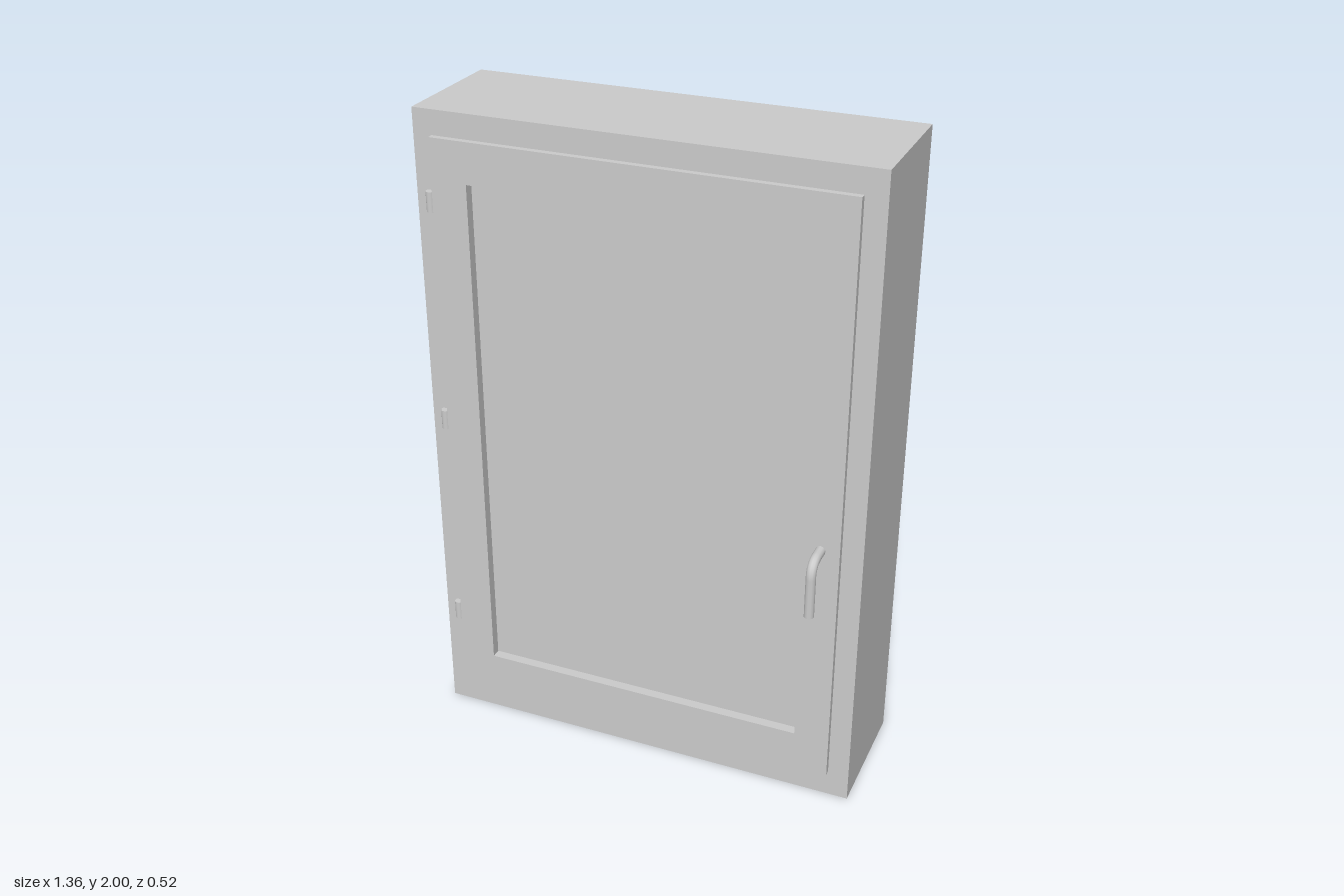
import * as THREE from 'three';

const material = new THREE.MeshStandardMaterial({ color: 0xcccccc });

function add(parent, name, geometry, x = 0, y = 0, z = 0) {
  const mesh = new THREE.Mesh(geometry, material);
  mesh.name = name;
  mesh.position.set(x, y, z);
  parent.add(mesh);
  return mesh;
}

function rectangle(target, x0, x1, y0, y1) {
  target.moveTo(x0, y0);
  target.lineTo(x1, y0);
  target.lineTo(x1, y1);
  target.lineTo(x0, y1);
  target.closePath();
  return target;
}

// Rectangular ring; outer and inner are [x0, x1, y0, y1], extruded from z0 to z1
function ring(outer, inner, z0, z1) {
  const shape = rectangle(new THREE.Shape(), ...outer);
  shape.holes.push(rectangle(new THREE.Path(), ...inner));
  const geometry = new THREE.ExtrudeGeometry(shape, { depth: z1 - z0, bevelEnabled: false });
  return geometry.translate(0, 0, z0);
}

export function createModel() {
  const model = new THREE.Group();
  model.name = 'framedDoor';

  // Deep surrounding frame, open at the back
  const opening = [-0.6, 0.6, 0.092, 1.923];
  add(model, 'outerFrame', ring([-0.68, 0.68, 0, 2], opening, -0.26, 0.142));

  // Door: body set in the opening, thin flange in front, pane in the middle
  const door = new THREE.Group();
  door.name = 'door';
  model.add(door);
  const window = [-0.51, 0.51, 0.215, 1.805];
  add(door, 'doorBody', ring([-0.598, 0.598, 0.094, 1.921], window, 0.078, 0.146));
  add(door, 'doorFlange', ring([-0.62, 0.617, 0.09, 1.928], window, 0.146, 0.165));
  add(door, 'pane', new THREE.BoxGeometry(1.02, 1.59, 0.028), 0, 1.01, 0.121);

  // Hinge barrels on the right edge
  for (const y of [0.357, 1.047, 1.736]) {
    add(model, 'hinge', new THREE.CylinderGeometry(0.0135, 0.0135, 0.061, 16), -0.634, y, 0.15);
  }

  // Bent lever handle
  const handle = new THREE.Group();
  handle.name = 'handle';
  door.add(handle);
  const x = 0.56, y = 0.877, z = 0.245, bend = 0.045;
  const path = new THREE.CurvePath();
  path.add(new THREE.LineCurve3(new THREE.Vector3(x, y, 0.16), new THREE.Vector3(x, y, z - bend)));
  path.add(new THREE.QuadraticBezierCurve3(
    new THREE.Vector3(x, y, z - bend), new THREE.Vector3(x, y, z), new THREE.Vector3(x, y - bend, z)));
  path.add(new THREE.LineCurve3(new THREE.Vector3(x, y - bend, z), new THREE.Vector3(x, 0.705, z)));
  add(handle, 'lever', new THREE.TubeGeometry(path, 40, 0.015, 12));
  add(handle, 'leverEnd', new THREE.CircleGeometry(0.015, 12), x, 0.705, z).rotation.x = Math.PI / 2;

  return model;
}
